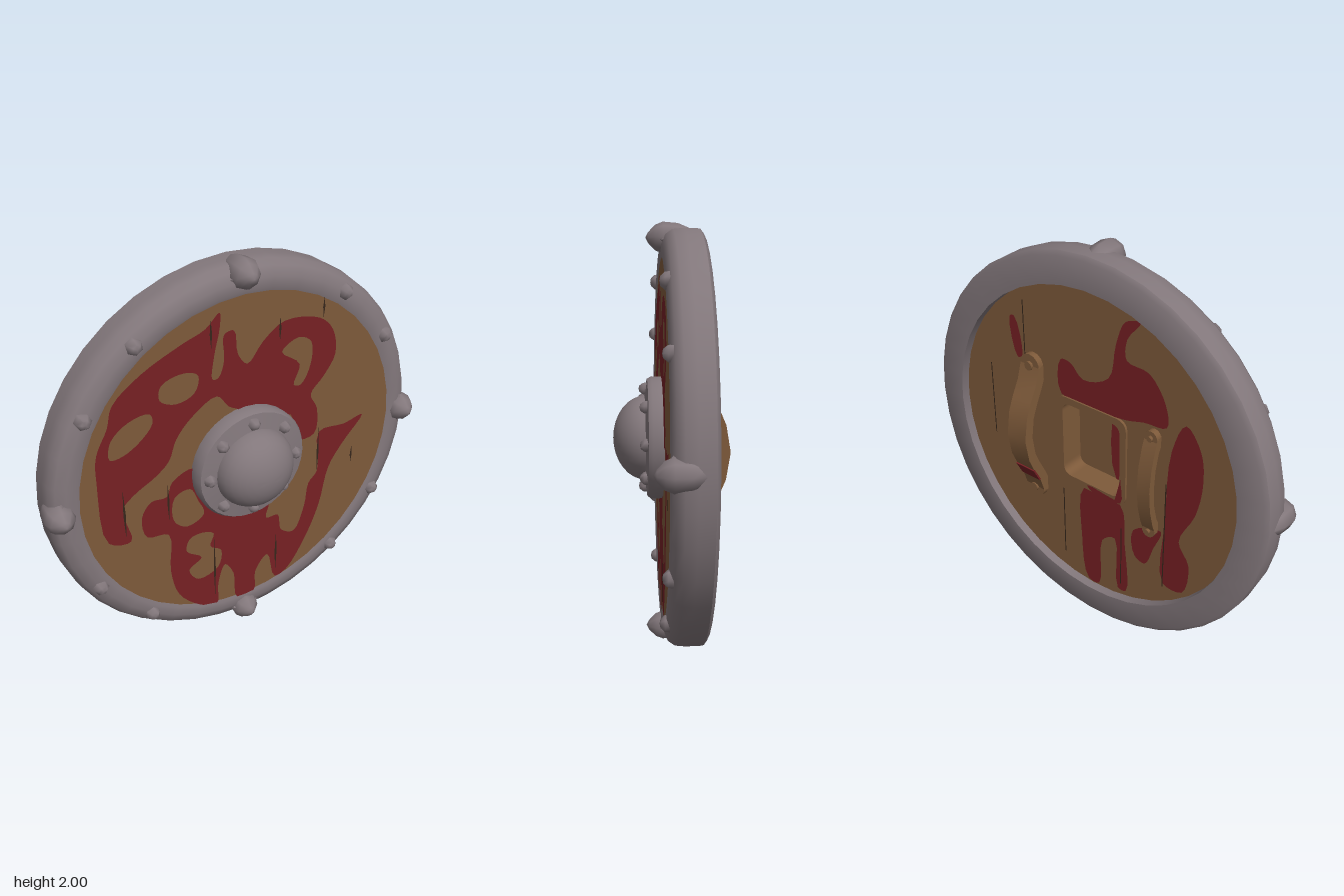
import * as THREE from 'three';
import { toCreasedNormals } from 'three/addons/utils/BufferGeometryUtils.js';

const mat = (name, color, side = THREE.FrontSide) => {
  const m = new THREE.MeshStandardMaterial({ color, side });
  m.name = name;
  return m;
};

export function createModel() {
  const metal = mat('greyIron', 0x82777b);
  const wood = mat('brownWood', 0x7e5a3a);
  const red = mat('redPaint', 0x762024, THREE.DoubleSide);
  const dark = mat('darkCrack', 0x35261b, THREE.DoubleSide);

  const root = new THREE.Group();
  root.name = 'roundShield';
  const shield = new THREE.Group();
  shield.name = 'shield';
  shield.position.y = 0.995;
  root.add(shield);

  const add = (name, geo, material, x = 0, y = 0, z = 0) => {
    const m = new THREE.Mesh(geo, material);
    m.name = name;
    m.position.set(x, y, z);
    shield.add(m);
    return m;
  };
  // turned form around the z axis; profile pairs are [radius, z]
  const turned = (profile, sides, crease = 0.7) => {
    const g = new THREE.LatheGeometry(profile.map(([r, z]) => new THREE.Vector2(r, z)), sides);
    g.rotateX(Math.PI / 2);
    return toCreasedNormals(g, crease);
  };
  // smooth closed outline from hundredths of a unit
  const outline = (pts, dy = 0) =>
    new THREE.CatmullRomCurve3(pts.map(([x, y]) => new THREE.Vector3(x / 100, (y - dy) / 100, 0)), true, 'centripetal')
      .getPoints(pts.length * 4).slice(0, -1).map(p => new THREE.Vector2(p.x, p.y));
  const paint = (name, z, dy, outer, ...holes) => {
    const s = new THREE.Shape(outline(outer, dy));
    s.holes = holes.map(h => new THREE.Path(outline(h, dy)));
    add(name, new THREE.ShapeGeometry(s), red, 0, 0, z);
  };
  const roundedRect = (Type, w, h, r) => {
    const p = new Type();
    p.moveTo(-w + r, -h);
    p.lineTo(w - r, -h); p.quadraticCurveTo(w, -h, w, -h + r);
    p.lineTo(w, h - r); p.quadraticCurveTo(w, h, w - r, h);
    p.lineTo(-w + r, h); p.quadraticCurveTo(-w, h, -w, h - r);
    p.lineTo(-w, -h + r); p.quadraticCurveTo(-w, -h, -w + r, -h);
    return p;
  };

  // wooden board: front disc, and a back layer with a square hand recess
  const disc = new THREE.CylinderGeometry(0.84, 0.84, 0.025, 48);
  disc.rotateX(Math.PI / 2);
  add('boardFront', disc, wood, 0, 0, 0.0125);
  const backShape = new THREE.Shape().absarc(0, 0, 0.84, 0, Math.PI * 2);
  backShape.holes.push(roundedRect(THREE.Path, 0.17, 0.2, 0.05));
  add('boardBack', new THREE.ExtrudeGeometry(backShape, { depth: 0.11, bevelEnabled: false, curveSegments: 24 }), wood, 0, 0, -0.11);
  const lip = roundedRect(THREE.Shape, 0.205, 0.235, 0.06);
  lip.holes.push(roundedRect(THREE.Path, 0.17, 0.2, 0.05));
  add('recessLip', new THREE.ExtrudeGeometry(lip, { depth: 0.012, bevelEnabled: false }), wood, 0, 0, -0.122);

  // iron rim
  add('rim', turned([[0.82, -0.155], [0.95, -0.155], [0.97, -0.14], [0.972, -0.07], [0.967, -0.02], [0.945, 0.012],
    [0.9, 0.03], [0.855, 0.032], [0.82, 0.018], [0.82, -0.155]], 40), metal);

  // rim rivets
  const rivet = turned([[0.04, -0.01], [0.037, 0.015], [0.02, 0.034], [0, 0.038]], 6, 1.2);
  for (const deg of [30, 54, 126, 150, 210, 234, 306, 330]) {
    const a = deg * Math.PI / 180;
    add('rimRivet', rivet, metal, 0.9 * Math.cos(a), 0.9 * Math.sin(a), 0.022).rotation.z = a;
  }
  // four pointed studs clasping the rim
  const stud = turned([[0.045, -0.1], [0.066, -0.05], [0.072, 0.02], [0.058, 0.055], [0.025, 0.087], [0, 0.1]], 8, 1);
  const clasp = new THREE.OctahedronGeometry(1);
  clasp.scale(0.075, 0.1, 0.09);
  for (let i = 0; i < 4; i++) {
    const a = i * Math.PI / 2;
    const c = Math.cos(a), s = Math.sin(a);
    add('rimStud', stud, metal, 0.927 * c, 0.927 * s, 0).rotation.z = a;
    add('rimClasp', clasp, metal, 0.915 * c, 0.915 * s, 0).rotation.z = a;
  }

  // central boss with flange and rivets
  add('bossFlange', turned([[0.288, 0.02], [0.29, 0.075], [0.278, 0.095], [0.19, 0.108]], 32), metal);
  const dome = [];
  for (let i = 0; i <= 8; i++) {
    const t = i / 8 * Math.PI / 2;
    dome.push([0.2 * Math.cos(t), 0.1 + 0.155 * Math.sin(t)]);
  }
  add('bossDome', turned([[0.2, 0.08], ...dome], 32, 1), metal);
  const smallRivet = rivet.clone().scale(0.8, 0.8, 0.9);
  for (let i = 0; i < 8; i++) {
    const a = i * Math.PI / 4;
    add('bossRivet', smallRivet, metal, 0.232 * Math.cos(a), 0.232 * Math.sin(a), 0.1).rotation.z = a;
  }

  // front paint
  paint('frontPaintUpper', 0.029, 99.5,
    [[-13, 178], [-20, 172], [-31, 168], [-51, 159], [-65, 148], [-68, 138], [-74, 126], [-75, 112], [-72, 78], [-61, 75],
      [-64, 94], [-58, 100], [-47, 106], [-40, 112], [-36, 122], [-28, 131], [-15, 138], [-9, 131], [-3, 127], [0, 118],
      [25, 116], [28, 101], [39, 101], [40, 115], [36, 124], [43, 132], [49, 142], [47, 155], [39, 163], [20, 166],
      [9, 159], [1, 150], [-4, 156], [-6, 168], [-11, 167], [-11, 155], [-14, 147], [-17, 147], [-16, 158], [-13, 171]],
    [[-68, 122], [-67, 131], [-58, 138], [-48, 139], [-47, 134], [-53, 127], [-62, 122]],
    [[-42, 151], [-31, 154], [-24, 151], [-26, 143], [-35, 140], [-43, 144]],
    [[19, 151], [28, 156], [35, 152], [35, 140], [30, 131], [26, 132], [29, 142]]);
  paint('frontPaintLower', 0.029, 99.5,
    [[-28, 104], [-39, 100], [-42, 93], [-50, 93], [-55, 86], [-53, 74], [-42, 71], [-42, 49], [-38, 32], [-27, 20],
      [-17, 16], [-16, 29], [-12, 40], [-7, 32], [-5, 15], [5, 15], [6, 28], [13, 36], [18, 19], [25, 21],
      [36, 37], [44, 56], [49, 78], [57, 90], [68, 103], [57, 101], [42, 101], [42, 78], [37, 72], [35, 59],
      [29, 45], [21, 49], [19, 59], [12, 60], [14, 72], [0, 80], [-20, 85], [-24, 95]],
    [[-38, 91], [-30, 93], [-26, 85], [-23, 76], [-32, 72], [-39, 78]],
    [[-31, 64], [-24, 65], [-18, 62], [-20, 55], [-14, 50], [-16, 40], [-27, 37], [-32, 45], [-25, 50], [-33, 57]]);

  // back paint
  const bz = -0.114;
  paint('backPaintUpper', bz, 0, [[18, 42], [18, 24], [-18, 24], [-30, 27], [-42, 29], [-41, 40], [-32, 52], [-20, 54],
    [-20, 64], [-27, 74], [-19, 72], [-14, 60], [-10, 42], [5, 36], [12, 42]]);
  paint('backPaintSide', bz, 0, [[-52, 34], [-45, 18], [-43, -20], [-43, -58], [-54, -58], [-57, -40], [-51, -29],
    [-59, -10], [-62, 8], [-60, 24]]);
  paint('backPaintLower', bz, 0, [[5, -24], [7, -54], [3, -80], [-4, -80], [-6, -51], [-14, -46], [-16, -76], [-21, -76],
    [-20, -46], [-17, -24]]);
  paint('backPaintSpot', bz, 0, [[-25, -35], [-41, -28], [-37, -40], [-32, -52], [-26, -50]]);
  paint('backPaintStreak', bz, 0, [[49, 54], [46, 55], [42, 36], [45, 34]]);
  paint('recessPaint', -0.004, 0, [[-6, 20], [-17, 19], [-17, -19], [-6, -20]]);
  paint('lipPaint', -0.125, 0, [[2, -20.5], [-19, -20.5], [-19, -8], [-18, -8], [-18, -22], [0, -23]]);

  // cracks between the planks: [x, middle y, length] on the front
  for (const [x, y, len] of [[-0.175, 1.69, 0.14], [0.176, 1.63, 0.12], [0.41, 1.68, 0.1], [-0.635, 0.91, 0.28],
    [-0.415, 0.9, 0.22], [0.415, 0.9, 0.28], [0.625, 0.81, 0.1], [-0.18, 0.4, 0.38], [0.18, 0.36, 0.26]]) {
    const s = new THREE.Shape([[0, -len / 2], [0.006, 0], [0, len / 2], [-0.006, 0]].map(p => new THREE.Vector2(...p)));
    add('plankCrack', new THREE.ShapeGeometry(s), dark, x, y - 0.995, 0.032);
  }
  // plank seams on the back
  for (const [x, y, len] of [[0.63, 0.05, 0.4], [0.4, 0.5, 0.3], [0.18, -0.5, 0.4], [-0.18, -0.55, 0.35], [-0.43, -0.3, 0.6]])
    add('plankSeam', new THREE.PlaneGeometry(0.006, len), dark, x, y, -0.117);

  // arched grips; profile pairs are [depth behind, height]
  const grip = (name, x, y, width, outer, inner) => {
    const mirror = half => [...half.map(([d, v]) => [d, -v]), ...half.slice(0, -1).reverse()];
    const pts = [...mirror(outer), ...mirror(inner).reverse()];
    const g = new THREE.ExtrudeGeometry(new THREE.Shape(pts.map(p => new THREE.Vector2(...p))),
      { depth: width, bevelEnabled: false });
    g.translate(0, 0, -width / 2);
    g.rotateY(Math.PI / 2);
    add(name, toCreasedNormals(g, 0.6), wood, x, y, 0);
    // rounded end pads with pegs
    for (const s of [-1, 1]) {
      const v = outer[1][1] * s;
      const pad = new THREE.CylinderGeometry(width / 2, width / 2, 0.035, 14).rotateX(Math.PI / 2);
      add(name + 'Pad', pad, wood, x, y + v, -0.1225);
      const peg = new THREE.CylinderGeometry(width / 5, width / 5, 0.015, 8).rotateX(Math.PI / 2);
      add(name + 'Peg', peg, wood, x, y + v, -0.146);
    }
  };
  grip('armGrip', 0.35, -0.005, 0.115,
    [[0.1, 0.36], [0.14, 0.345], [0.165, 0.265], [0.205, 0.19], [0.235, 0.12], [0.255, 0]],
    [[0.1, 0.3], [0.125, 0.24], [0.165, 0.16], [0.19, 0.1], [0.205, 0]]);
  grip('handGrip', -0.355, -0.03, 0.07,
    [[0.1, 0.27], [0.135, 0.255], [0.155, 0.2], [0.177, 0.11], [0.187, 0]],
    [[0.1, 0.23], [0.125, 0.18], [0.145, 0.1], [0.153, 0]]);
  // paint patch on the arm grip
  add('gripPaint', new THREE.BoxGeometry(0.117, 0.085, 0.009), red, 0.35, -0.235, -0.186).rotation.x = -0.49;

  return root;
}
